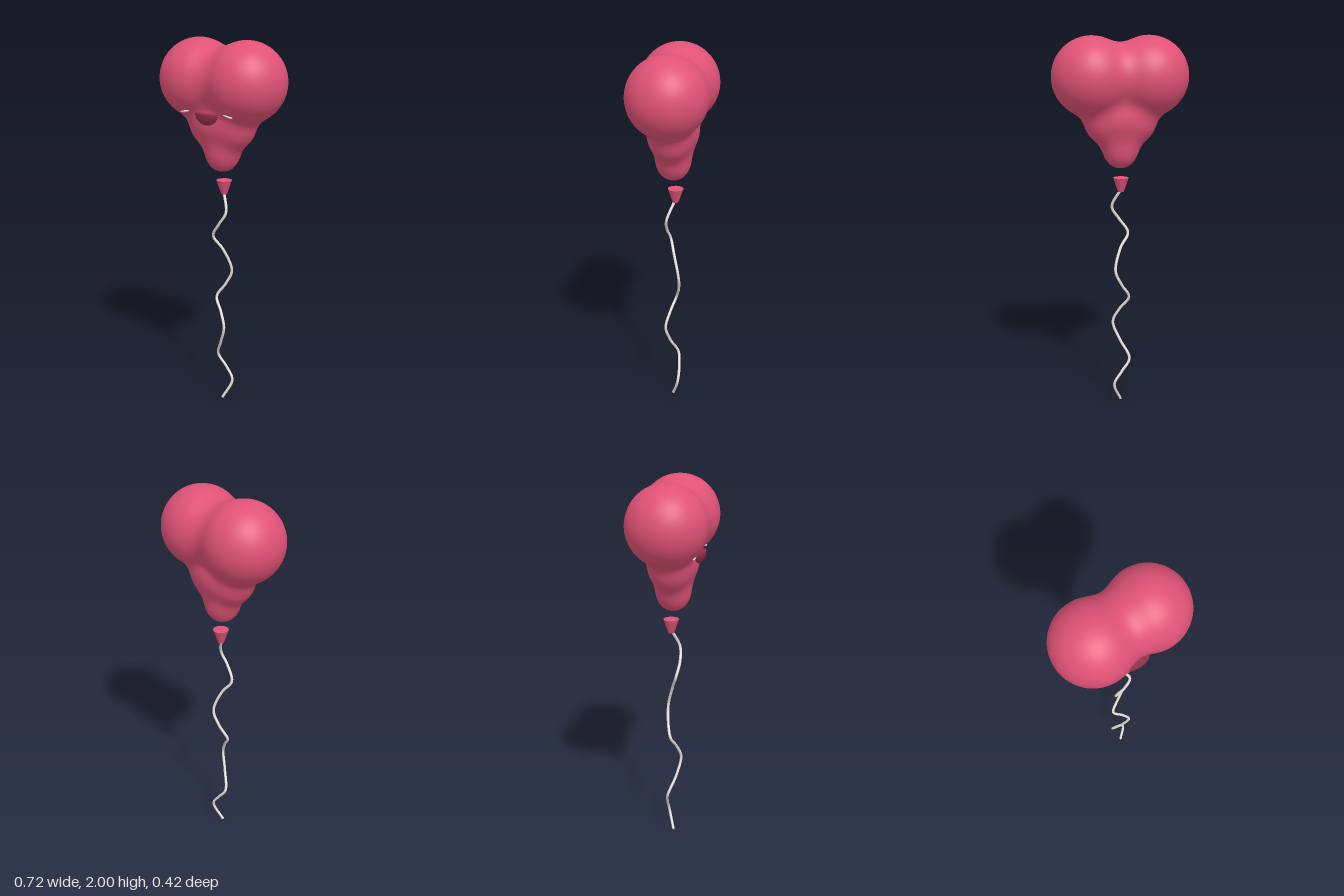
import * as THREE from 'three';
import { mergeVertices } from 'three/addons/utils/BufferGeometryUtils.js';

const material = (name, color) => {
  const m = new THREE.MeshStandardMaterial({ color });
  m.name = name;
  return m;
};

// Blobs that melt into the heart: x, y, radius
const BLOBS = [
  [0.15, 1.79, 0.208], [-0.15, 1.79, 0.208],
  [0.09, 1.545, 0.093], [-0.09, 1.545, 0.093],
  [0, 1.57, 0.118], [0, 1.4, 0.087],
];

function smoothMin(a, b, k) {
  const h = Math.max(k - Math.abs(a - b), 0) / k;
  return Math.min(a, b) - h * h * k / 4;
}

function distance(p) {
  return BLOBS
    .map(([x, y, r]) => Math.hypot(p.x - x, p.y - y, p.z) - r)
    .reduce((a, b) => smoothMin(a, b, 0.09));
}

// Walk from an inner point outward until the skin is reached
function skinPoint(origin, dir) {
  const p = origin.clone();
  for (let i = 0; i < 80; i++) {
    const d = distance(p);
    if (d > -0.00005) break;
    p.addScaledVector(dir, -d * 0.95);
  }
  return p;
}

function heartGeometry() {
  let geo = new THREE.IcosahedronGeometry(1, 36);
  geo.deleteAttribute('uv');
  geo.deleteAttribute('normal');
  geo = mergeVertices(geo, 1e-5);
  const centre = new THREE.Vector3(0, 1.65, 0);
  const pos = geo.attributes.position;
  const dir = new THREE.Vector3();
  for (let i = 0; i < pos.count; i++) {
    dir.fromBufferAttribute(pos, i).normalize();
    const p = skinPoint(centre, dir);
    pos.setXYZ(i, p.x, p.y, p.z);
  }
  geo.computeVertexNormals();
  return geo;
}

export function createModel() {
  const group = new THREE.Group();
  group.name = 'heartBalloon';
  const pink = material('balloonPink', 0xe05276);
  const maroon = material('mouthMaroon', 0x8f2f48);
  const white = material('eyeWhite', 0xf0eeea);
  const cord = material('stringWhite', 0xe6e2da);

  const add = (name, geo, mat, parent = group) => {
    const mesh = new THREE.Mesh(geo, mat);
    mesh.name = name;
    parent.add(mesh);
    return mesh;
  };

  add('balloon', heartGeometry(), pink);

  // Smiling mouth: half an ellipsoid with a flat top
  const mouth = new THREE.Group();
  mouth.name = 'mouth';
  mouth.position.set(0, 1.636, 0.135);
  mouth.scale.set(0.069, 0.06, 0.034);
  group.add(mouth);
  add('smile', new THREE.SphereGeometry(1, 32, 12, 0, Math.PI * 2, Math.PI / 2, Math.PI / 2), maroon, mouth);
  add('upperLip', new THREE.CircleGeometry(1, 32).rotateX(-Math.PI / 2), maroon, mouth);

  // Narrow eyes peeking out of the skin under the lobes
  for (const side of [1, -1]) {
    const inner = new THREE.Vector3(side * 0.135, 1.636, 0);
    const eye = add(side > 0 ? 'leftEye' : 'rightEye', new THREE.SphereGeometry(1, 20, 12), white);
    eye.position.copy(skinPoint(inner, new THREE.Vector3(0, 0, 1)));
    eye.scale.set(0.031, 0.006, 0.007);
    eye.rotation.z = -side * 0.2;
  }

  // Tied end
  add('knot', new THREE.CylinderGeometry(0.041, 0.016, 0.075, 32), pink).position.set(0, 1.226, -0.012);

  // Wavy string
  const path = new THREE.CatmullRomCurve3([
    [0, 0.005, 0], [0.041, 0.11, -0.034], [0, 0.18, -0.034], [-0.046, 0.25, -0.02],
    [0, 0.35, 0.017], [0.035, 0.45, 0.036], [0, 0.53, 0.018], [-0.046, 0.6, -0.006],
    [0, 0.68, -0.03], [0.034, 0.76, -0.036], [0, 0.88, -0.004], [-0.046, 0.955, 0.024],
    [0, 1.03, 0.036], [0.041, 1.1, 0.027], [0, 1.2, -0.01],
  ].map((p) => new THREE.Vector3(...p)));
  add('string', new THREE.TubeGeometry(path, 160, 0.0075, 10), cord);
  const end = add('stringEnd', new THREE.SphereGeometry(0.0075, 10, 8), cord);
  end.position.set(0, 0.0075, 0);

  return group;
}
